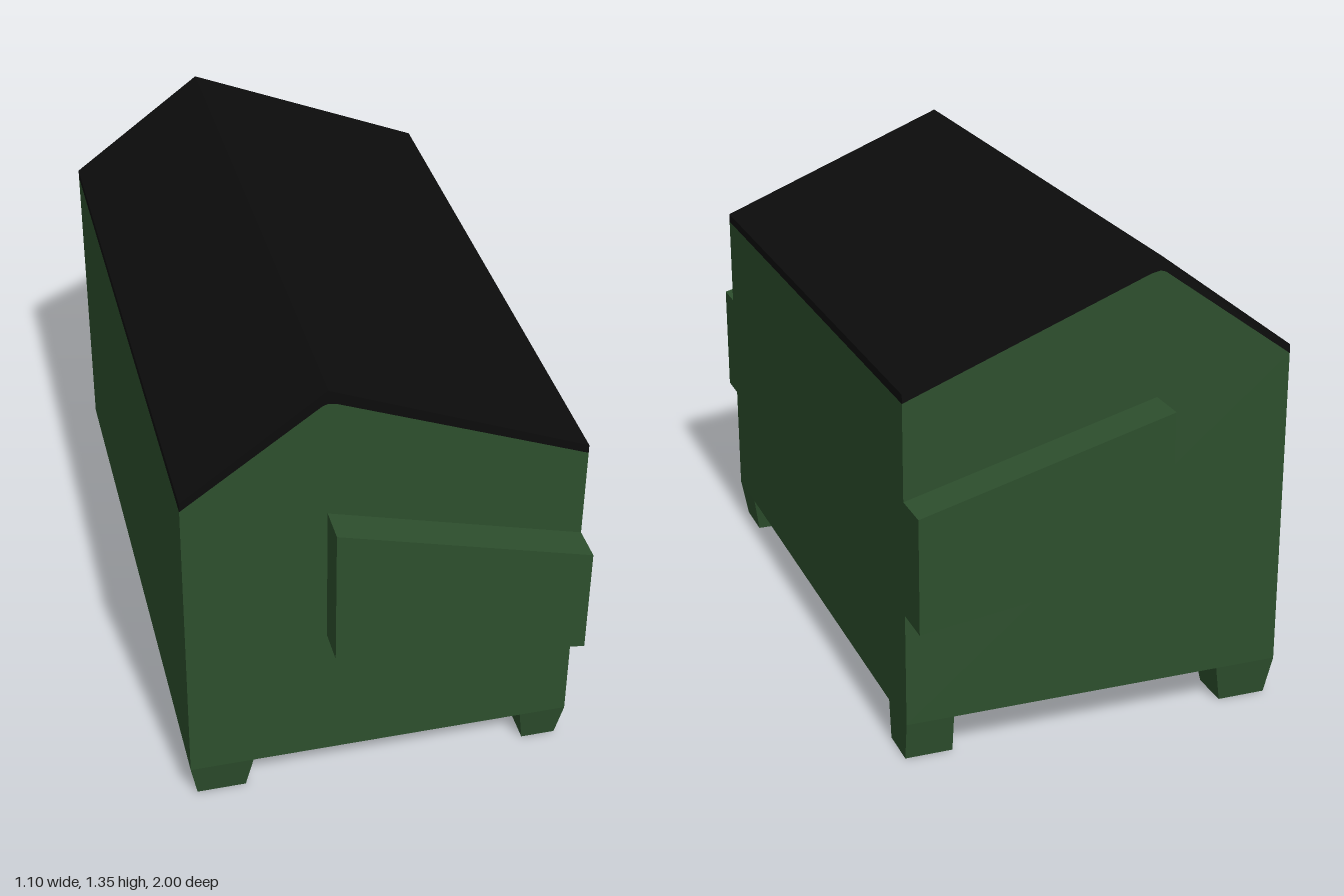
import * as THREE from 'three';

const green = new THREE.MeshStandardMaterial({ color: 0x2d4f2d });
green.name = 'green paint';
const black = new THREE.MeshStandardMaterial({ color: 0x0c0c0c });
black.name = 'black plastic';

const FLOOR = 0.11, BACK = -0.88, FRONT = 0.9;

function add(group, name, geometry, material) {
  const mesh = new THREE.Mesh(geometry, material);
  mesh.name = name;
  group.add(mesh);
}

// Outline in x and y, extruded from z0 to z1
function prism(outline, z0, z1) {
  const shape = new THREE.Shape(outline.map(([x, y]) => new THREE.Vector2(x, y)));
  return new THREE.ExtrudeGeometry(shape, { depth: z1 - z0, bevelEnabled: false }).translate(0, 0, z0);
}

// Box whose lower face is drawn in by taperX and taperZ on each side
function foot(x0, x1, z0, z1, taperX, taperZ) {
  const geo = new THREE.BoxGeometry(x1 - x0, FLOOR, z1 - z0);
  const p = geo.attributes.position;
  for (let i = 0; i < p.count; i++) {
    if (p.getY(i) > 0) continue;
    p.setX(i, p.getX(i) - Math.sign(p.getX(i)) * taperX);
    p.setZ(i, p.getZ(i) - Math.sign(p.getZ(i)) * taperZ);
  }
  geo.computeVertexNormals();
  return geo.translate((x0 + x1) / 2, FLOOR / 2, (z0 + z1) / 2);
}

// Flat brush stroke facing down; each point is x, z, half width
function stroke(points) {
  const curve = new THREE.CatmullRomCurve3(points.map(([x, z, w]) => new THREE.Vector3(x, z, w)));
  const left = [], right = [], n = 24;
  for (let i = 0; i <= n; i++) {
    const c = curve.getPoint(i / n), t = curve.getTangent(i / n);
    const len = Math.hypot(t.x, t.y);
    // round off both ends
    const e = Math.min(i, n - i) / 3;
    const w = c.z * (e < 1 ? 0.4 + 0.6 * Math.sqrt(1 - (1 - e) ** 2) : 1);
    const nx = (-t.y / len) * w, ny = (t.x / len) * w;
    left.push(new THREE.Vector2(c.x + nx, c.y + ny));
    right.unshift(new THREE.Vector2(c.x - nx, c.y - ny));
  }
  return new THREE.ShapeGeometry(new THREE.Shape([...left, ...right]))
    .rotateX(Math.PI / 2).translate(0, FLOOR - 0.004, 0);
}

export function createModel() {
  const model = new THREE.Group();
  model.name = 'wasteContainer';

  // Gabled bin with an off-centre ridge
  const gable = [[-0.55, 1.03], [-0.175, 1.3], [-0.16, 1.305], [-0.135, 1.3], [0.55, 1.03]];
  add(model, 'body', prism([[-0.55, FLOOR], ...gable, [0.55, FLOOR]], BACK, FRONT), green);

  // Lid follows the gable
  add(model, 'lid', prism([...gable, [0.55, 1.055], [-0.16, 1.345], [-0.55, 1.055]], BACK, FRONT), black);

  // Slanted lifting pockets at both ends
  const pocket = [[-0.16, 0.535], [0.55, 0.435], [0.55, 0.76], [-0.16, 0.955]];
  add(model, 'frontPocket', prism(pocket, FRONT, 1), green);
  add(model, 'backPocket', prism(pocket, -1, BACK), green);

  // Tapered feet
  add(model, 'frontRightFoot', foot(-0.55, -0.37, 0.72, FRONT, 0.02, 0.02), green);
  add(model, 'backRightFoot', foot(-0.55, -0.37, BACK, -0.73, 0.02, 0.015), green);
  add(model, 'frontLeftFoot', foot(0.415, 0.55, 0.72, FRONT, 0.018, 0.02), green);
  add(model, 'backLeftFoot', foot(0.415, 0.55, BACK, -0.73, 0, 0.015), green);

  // Smiling face painted under the floor
  add(model, 'paintedLeftEye', stroke([[0.063, 0.5, 0.033], [0.075, 0.2, 0.035], [0.063, -0.08, 0.033]]), black);
  add(model, 'paintedRightEye', stroke([[-0.305, 0.53, 0.03], [-0.31, 0.21, 0.035], [-0.29, -0.13, 0.035]]), black);
  add(model, 'paintedMouth', stroke([
    [0.14, -0.59, 0.06], [0.09, -0.45, 0.07], [-0.02, -0.37, 0.062],
    [-0.11, -0.365, 0.05], [-0.2, -0.44, 0.036], [-0.285, -0.6, 0.033],
  ]), black);

  return model;
}
